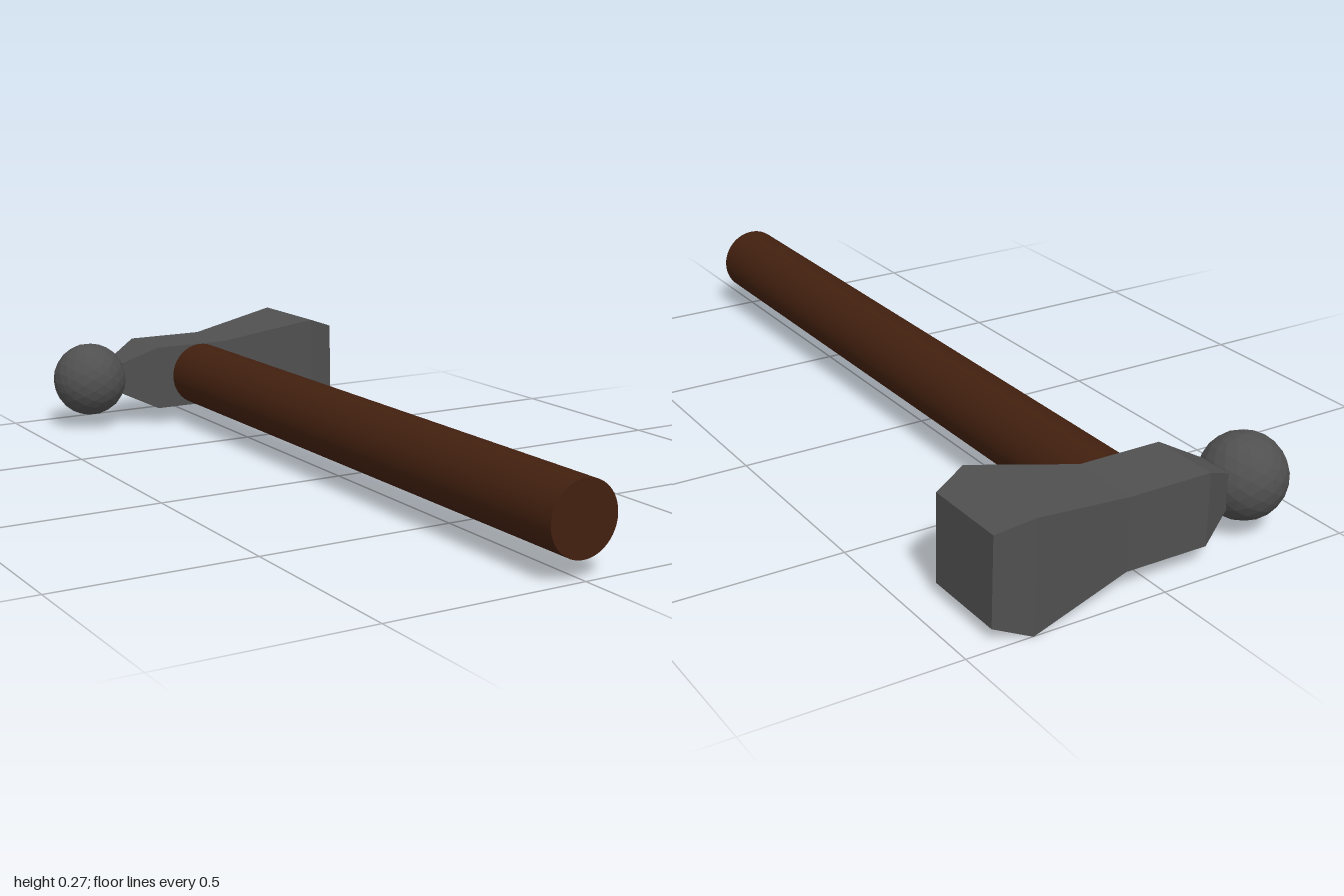
import * as THREE from 'three';

const AXIS_Y = 0.138; // height of the handle and head axes
const HEAD_Z = -0.865;

function part(name, geometry, material, x, y, z) {
  const mesh = new THREE.Mesh(geometry, material);
  mesh.name = name;
  mesh.position.set(x, y, z);
  return mesh;
}

// Square-section bar whose half width follows [x, half width] stations
function squareLoft(stations) {
  const spans = stations.length - 1;
  const geometry = new THREE.BoxGeometry(spans, 2, 2, spans, 1, 1);
  const pos = geometry.attributes.position;
  for (let i = 0; i < pos.count; i++) {
    const [x, half] = stations[Math.round(pos.getX(i) + spans / 2)];
    pos.setXYZ(i, x, pos.getY(i) * half, pos.getZ(i) * half);
  }
  geometry.computeVertexNormals();
  return geometry;
}

export function createModel() {
  const group = new THREE.Group();
  group.name = 'hammer';
  const metal = new THREE.MeshStandardMaterial({ color: 0x505050, flatShading: true });
  const wood = new THREE.MeshStandardMaterial({ color: 0x42200f });

  // Handle, running from the front into the head
  const back = -0.82;
  const handle = new THREE.CylinderGeometry(0.088, 0.088, 1 - back, 48);
  handle.rotateX(Math.PI / 2);
  group.add(part('handle', handle, wood, -0.008, AXIS_Y, (1 + back) / 2));

  // Head: neck, eye, flare and bevelled striking face
  const head = squareLoft([
    [-0.236, 0.045],
    [-0.145, 0.089],
    [0.07, 0.089],
    [0.338, 0.136],
    [0.421, 0.107],
  ]);
  group.add(part('head', head, metal, 0, AXIS_Y, HEAD_Z));

  // Faceted ball at the other end
  const ball = new THREE.IcosahedronGeometry(0.103, 3);
  group.add(part('ballPeen', ball, metal, -0.319, AXIS_Y, HEAD_Z));

  return group;
}
